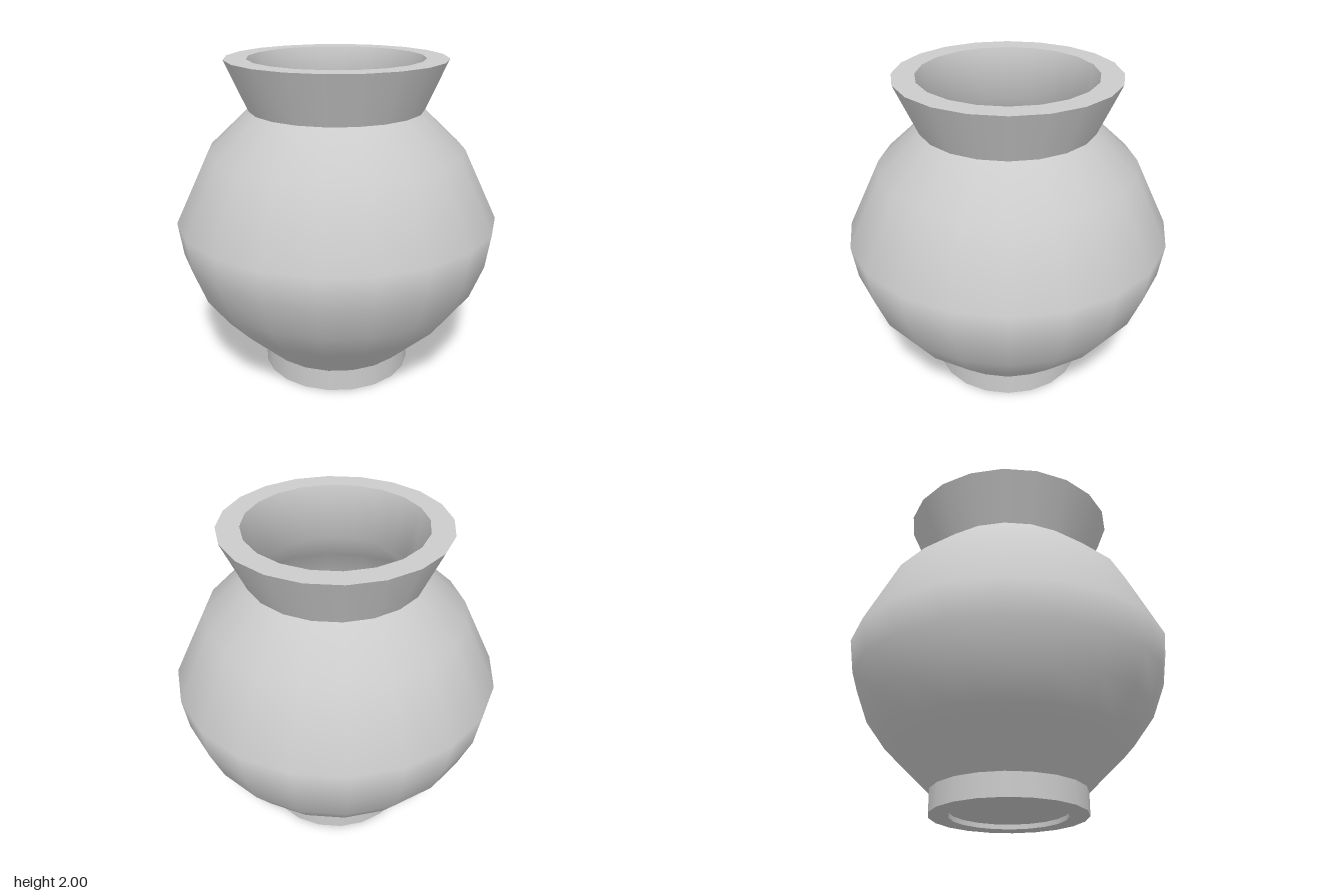
import * as THREE from 'three';

const SIDES = 20;

// Each part is a [radius, height] profile turned about the vertical axis.
// Profiles run from the underside centre, up the outside, then down the inside,
// so every face points out of the clay. Breaks between parts stay sharp.
const PROFILES = {
  footRecess: [[0, 0.03], [0.355, 0.03]],
  footRecessWall: [[0.355, 0.03], [0.355, 0]],
  footRing: [[0.355, 0], [0.475, 0]],
  footWall: [[0.475, 0], [0.475, 0.14]],
  body: [[0.475, 0.14], [0.76, 0.42], [0.89, 0.6], [0.97, 0.81], [1, 1.02], [0.79, 1.455], [0.535, 1.695]],
  neck: [[0.535, 1.695], [0.67, 2]],
  rim: [[0.67, 2], [0.535, 2]],
  innerWall: [[0.535, 2], [0.46, 1.68], [0.72, 1.42], [0.91, 1.02], [0.89, 0.83], [0.81, 0.64], [0.69, 0.46], [0.46, 0.22]],
  innerFloor: [[0.46, 0.22], [0, 0.22]],
};

export function createModel() {
  const vase = new THREE.Group();
  vase.name = 'vase';
  const clay = new THREE.MeshStandardMaterial({ color: 0xcccccc });

  for (const [name, profile] of Object.entries(PROFILES)) {
    const points = profile.map(([r, y]) => new THREE.Vector2(r, y));
    const part = new THREE.Mesh(new THREE.LatheGeometry(points, SIDES), clay);
    part.name = name;
    vase.add(part);
  }
  return vase;
}
